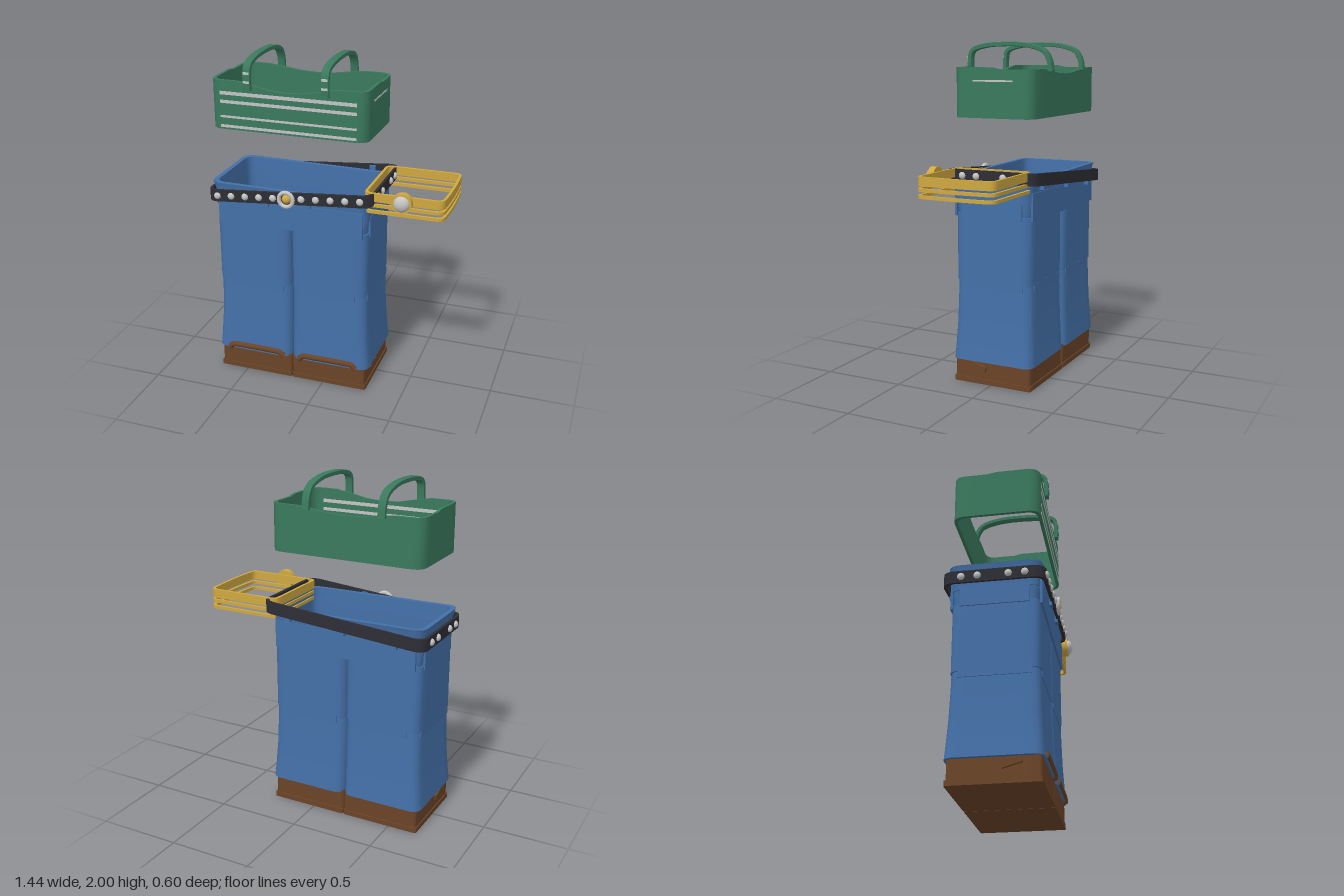
import * as THREE from 'three';
import { toCreasedNormals } from 'three/addons/utils/BufferGeometryUtils.js';

const paint = (name, color) => {
  const m = new THREE.MeshStandardMaterial({ color });
  m.name = name;
  return m;
};

// rounded rectangle outline [x, z], with extra points along the sides
function outline([x0, x1, z0, z1, r], sub = 8) {
  const corners = [[x1 - r, z1 - r], [x0 + r, z1 - r], [x0 + r, z0 + r], [x1 - r, z0 + r]];
  const raw = [];
  corners.forEach(([cx, cz], k) => {
    for (let i = 0; i <= 3; i++) {
      const a = (k + i / 3) * Math.PI / 2;
      raw.push([cx + r * Math.cos(a), cz + r * Math.sin(a)]);
    }
  });
  const pts = [];
  raw.forEach((p, i) => {
    pts.push(p);
    const q = raw[(i + 1) % raw.length];
    if (i % 4 === 3) {
      for (let s = 1; s < sub; s++) {
        pts.push([p[0] + (q[0] - p[0]) * s / sub, p[1] + (q[1] - p[1]) * s / sub]);
      }
    }
  });
  return pts;
}

// skin through sections [y or y(x, z), rectangle]; up the outside, then down the inside
function loft(sections, capBottom = false, capTop = false) {
  const pos = [], idx = [];
  const rings = sections.map(([y, rect]) => outline(rect).map(([x, z]) =>
    [x, typeof y === 'function' ? y(x, z) : y, z]));
  const n = rings[0].length;
  rings.forEach(r => r.forEach(p => pos.push(...p)));
  for (let i = 0; i < rings.length - 1; i++) {
    for (let j = 0; j < n; j++) {
      const a = i * n + j, b = i * n + (j + 1) % n;
      idx.push(a, a + n, b, b, a + n, b + n);
    }
  }
  const cap = (ring, base, up) => {
    const c = pos.length / 3;
    const mid = ring.reduce((s, p) => s.map((v, k) => v + p[k] / n), [0, 0, 0]);
    pos.push(...mid);
    for (let j = 0; j < n; j++) {
      const k = (j + 1) % n;
      idx.push(c, base + (up ? k : j), base + (up ? j : k));
    }
  };
  if (capBottom) cap(rings[0], 0, false);
  if (capTop) cap(rings[rings.length - 1], (rings.length - 1) * n, true);
  const g = new THREE.BufferGeometry();
  g.setAttribute('position', new THREE.Float32BufferAttribute(pos, 3));
  g.setIndex(idx);
  return toCreasedNormals(g, 0.7);
}

const inset = ([x0, x1, z0, z1, r], t) => [x0 + t, x1 - t, z0 + t, z1 - t, Math.max(r - t * 0.5, 0.01)];

// closed hoop with wall thickness t
function hoop(rect, yLow, yHigh, t) {
  const inner = inset(rect, t);
  return loft([[yLow, rect], [yHigh, rect], [yHigh, inner], [yLow, inner], [yLow, rect]]);
}

export function createModel() {
  const root = new THREE.Group();
  const blue = paint('denimBlue', 0x4470a8);
  const green = paint('clothGreen', 0x3a7a5e);
  const brown = paint('leatherBrown', 0x6b4428);
  const gold = paint('gold', 0xd0a840);
  const black = paint('beltBlack', 0x2d2d35);
  const silver = paint('silver', 0xc4c4c4);
  const add = (name, geo, mat, x = 0, y = 0, z = 0) => {
    const m = new THREE.Mesh(geo, mat);
    m.name = name;
    m.position.set(x, y, z);
    root.add(m);
    return m;
  };
  const box = (name, mat, x0, x1, y0, y1, z0, z1) =>
    add(name, new THREE.BoxGeometry(x1 - x0, y1 - y0, z1 - z0), mat, (x0 + x1) / 2, (y0 + y1) / 2, (z0 + z1) / 2);
  const CX = -0.2;

  // shoes and trouser legs, one per side
  for (const s of [-1, 1]) {
    // rectangle running from the middle seam out to half width w
    const side = (w, z0, z1, r, gap = 0.002) => s < 0
      ? [CX - w, CX - gap, z0, z1, r] : [CX + gap, CX + w, z0, z1, r];
    add('sole', loft([[0, side(0.475, -0.257, 0.243, 0.012)], [0.03, side(0.475, -0.257, 0.243, 0.012)]], true, true), brown);
    add('shoe', loft([[0.02, side(0.468, -0.25, 0.238, 0.015)], [0.15, side(0.468, -0.25, 0.238, 0.015)]], true, true), brown);
    const toe = new THREE.CatmullRomCurve3([[0.05, 0.14], [0.075, 0.164], [0.14, 0.168], [0.33, 0.168], [0.39, 0.164], [0.412, 0.14]]
      .map(([x, y]) => new THREE.Vector3(CX + s * x, y, 0.248)));
    add('toeRidge', new THREE.TubeGeometry(toe, 24, 0.018, 8), brown);
    const tab = box('shoeTab', brown, CX + s * 0.472 - 0.012, CX + s * 0.472 + 0.012, 0.09, 0.125, 0.03, 0.14);
    tab.rotation.x = -0.28;

    add('lowerLeg', loft([
      [0.14, side(0.49, -0.267, 0.25, 0.05)], [0.22, side(0.482, -0.262, 0.246, 0.05)],
      [0.36, side(0.472, -0.254, 0.238, 0.05)], [0.62, side(0.463, -0.246, 0.231, 0.05)],
    ], true, true), blue);
    const leg = side(0.469, -0.25, 0.236, 0.05);
    const inner = inset(leg, 0.012);
    add('upperLeg', loft([[0.62, leg], [1.02, leg], [1.02, inner], [0.62, inner]], true, true), blue);
    // hem flaps over the knee
    const xa = CX + s * 0.05, xb = CX + s * 0.4;
    for (const z of [-0.246, 0.231]) {
      box('kneeHem', blue, Math.min(xa, xb), Math.max(xa, xb), 0.585, 0.63, z - 0.005, z + 0.005);
    }
    const xs = CX + s * 0.4645;
    box('kneeHem', blue, xs - 0.0045, xs + 0.0045, 0.585, 0.63, -0.205, 0.19);
    // waist flap on the side
    box('waistFlap', blue, CX + s * 0.47 - 0.006, CX + s * 0.47 + 0.006, 1.0, 1.12, -0.2, 0.182);
  }

  // waistband with hanging front and back flaps
  const low = [-0.672, 0.273, -0.254, 0.24, 0.05], top = [-0.69, 0.282, -0.27, 0.252, 0.06];
  const rim = x => 1.24 - 0.008 * (x - CX);
  add('waistband', loft([[1.0, inset(low, 0.015)], [1.1, inset(low, 0.004)], [1.1, low], [1.18, low], [rim, top],
    [rim, inset(top, 0.028)], [1.1, inset(low, 0.02)], [1.0, inset(low, 0.02)]]), blue);
  for (const z of [-0.252, 0.239]) box('waistFlap', blue, -0.642, 0.247, 1.0, 1.16, z - 0.007, z + 0.007);

  // tilted belt with loops
  const tilt = 0.083;
  const beltY = (x, dy) => 1.205 + tilt * (x - CX) + dy;
  const beltRect = [-0.705, 0.31, -0.298, 0.27, 0.06];
  add('belt', hoop(beltRect, x => beltY(x, -0.036), x => beltY(x, 0.036), 0.016), black);
  for (const x of [-0.52, -0.2, 0.15]) box('beltLoop', blue, x - 0.018, x + 0.018, beltY(x, -0.06), beltY(x, 0.03), -0.29, -0.262);
  for (const x of [-0.34, -0.08]) box('beltLoop', blue, x - 0.018, x + 0.018, beltY(x, -0.06), beltY(x, 0.03), 0.245, 0.262);

  // studs
  const stud = new THREE.SphereGeometry(0.021, 14, 10);
  for (let i = -5; i <= 5; i++) {
    const x = CX + i * 0.0875;
    if (i) add('stud', stud, silver, x, beltY(x, 0), 0.27).scale.z = 0.75;
  }
  for (const x of [beltRect[0], beltRect[1]]) {
    for (const z of [-0.19, -0.1, 0.07, 0.16]) add('stud', stud, silver, x, beltY(x, 0), z).scale.x = 0.8;
  }
  // buckle
  add('buckleRing', new THREE.TorusGeometry(0.043, 0.012, 10, 28), silver, CX, 1.205, 0.284);
  add('buckleGem', new THREE.SphereGeometry(0.028, 16, 12), gold, CX, 1.205, 0.272);

  // stacked bracelets
  const ring = [0.245, 0.705, -0.252, 0.225, 0.035];
  const bow = (g) => {
    const p = g.attributes.position;
    for (let i = 0; i < p.count; i++) {
      const x = p.getX(i), z = p.getZ(i);
      if (x > 0.6) p.setX(i, x + 0.011 * (1 - ((z + 0.013) / 0.24) ** 2));
    }
    return g;
  };
  for (const [a, b] of [[1.235, 1.286], [1.203, 1.222], [1.165, 1.184]]) {
    add('bracelet', bow(hoop(ring, a, b, 0.016)), gold);
  }
  const clasp = add('claspMount', new THREE.CylinderGeometry(0.057, 0.057, 0.04, 28), gold, 0.475, 1.257, 0.241);
  clasp.rotation.x = Math.PI / 2;
  add('claspDome', new THREE.SphereGeometry(0.047, 24, 16), silver, 0.475, 1.257, 0.258).scale.z = 0.7;

  // open green top with a dipped neckline
  const shell = [-0.665, 0.267, -0.26, 0.24, 0.06];
  const neck = (x, z) => {
    const d = Math.max(0, 1 - ((x - CX) / 0.26) ** 2);
    return 1.86 - (Math.abs(z) > 0.2 ? (z > 0 ? 0.045 : 0.03) * d : 0) - (z < -0.05 ? 0.01 : 0);
  };
  const lining = inset(shell, 0.018);
  add('top', loft([[1.575, shell], [1.7, shell], [neck, shell], [neck, lining], [1.7, lining], [1.575, lining], [1.575, shell]]), green);
  // stripes on the outside and inside of the front
  for (const [y, h] of [[1.787, 0.02], [1.737, 0.018], [1.65, 0.013], [1.594, 0.016]]) {
    box('stripe', silver, -0.605, 0.207, y - h / 2, y + h / 2, 0.239, 0.242);
    box('stripeInside', silver, -0.59, 0.19, y - h / 2, y + h / 2, 0.22, 0.223);
  }
  box('sideStripe', silver, 0.266, 0.269, 1.78, 1.79, -0.14, 0.11);

  // shoulder straps, a band arched from front to back
  const path = new THREE.CatmullRomCurve3([[0.25, 1.815], [0.252, 1.88], [0.238, 1.95], [0.17, 1.978], [0.03, 1.99],
    [-0.12, 1.983], [-0.225, 1.95], [-0.258, 1.9], [-0.27, 1.835]].map(([z, y]) => new THREE.Vector3(z, y, 0)));
  const outer = [], under = [];
  for (let i = 0; i <= 32; i++) {
    const p = path.getPoint(i / 32), t = path.getTangent(i / 32);
    outer.push(new THREE.Vector2(p.x + t.y * 0.01, p.y - t.x * 0.01));
    under.unshift(new THREE.Vector2(p.x - t.y * 0.01, p.y + t.x * 0.01));
  }
  const strap = new THREE.ExtrudeGeometry(new THREE.Shape([...outer, ...under]),
    { depth: 0.034, bevelEnabled: true, bevelSize: 0.003, bevelThickness: 0.005, bevelSegments: 1 });
  strap.translate(0, 0, -0.017).rotateY(-Math.PI / 2);
  for (const x of [-0.43, 0.03]) {
    add('strap', toCreasedNormals(strap, 0.6), green, x);
    for (const y of [1.865, 1.915]) box('strapStripe', silver, x - 0.018, x + 0.018, y - 0.007, y + 0.007, 0.258, 0.266);
  }
  return root;
}
